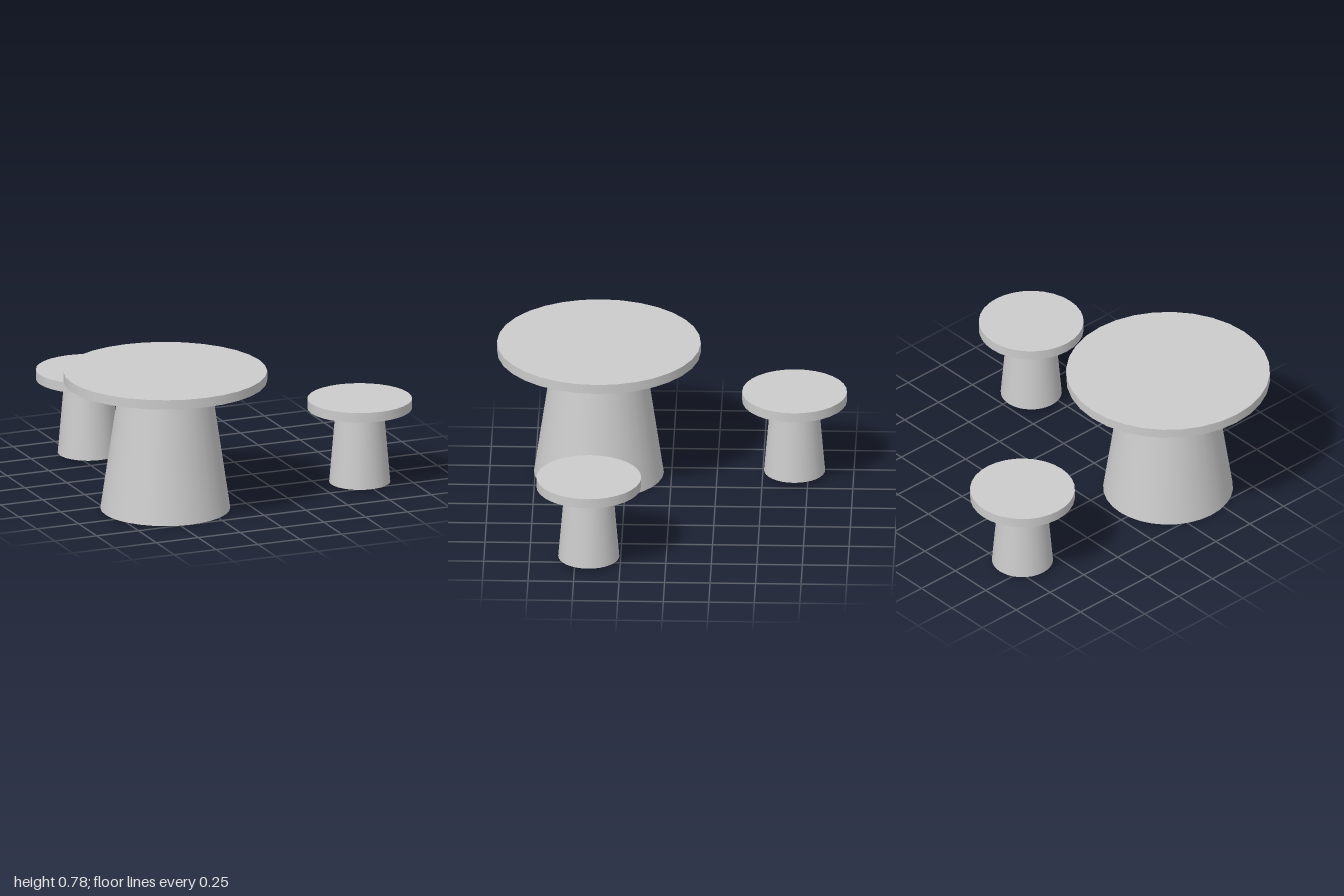
import * as THREE from 'three';

const material = new THREE.MeshStandardMaterial({ color: 0xcccccc, side: THREE.DoubleSide });
const SIDES = 32;

function addMesh(group, name, geometry, y) {
  const mesh = new THREE.Mesh(geometry, material);
  mesh.name = name;
  mesh.position.y = y;
  group.add(mesh);
}

// A round top (disc with a rim, hollow underneath) on an open tapered pedestal
function createPedestalPiece(name, p) {
  const piece = new THREE.Group();
  piece.name = name;
  piece.position.set(p.x, 0, p.z);

  const rimHeight = p.top - p.under;
  addMesh(piece, 'topDisc', new THREE.CircleGeometry(p.radius, SIDES).rotateX(-Math.PI / 2), p.top);
  addMesh(piece, 'topRim',
    new THREE.CylinderGeometry(p.radius, p.radius, rimHeight, SIDES, 1, true), p.under + rimHeight / 2);

  const height = p.under - p.base;
  addMesh(piece, 'pedestal',
    new THREE.CylinderGeometry(p.neck, p.foot, height, SIDES, 1, true), p.base + height / 2);
  return piece;
}

export function createModel() {
  const model = new THREE.Group();
  model.name = 'tableWithStools';

  model.add(createPedestalPiece('table', {
    x: -0.44, z: 0.4, radius: 0.56, top: 0.782, under: 0.728, base: 0, neck: 0.25, foot: 0.357,
  }));

  // Two matching stools
  const stool = { radius: 0.288, top: 0.498, under: 0.443, base: 0.022, neck: 0.132, foot: 0.168 };
  model.add(createPedestalPiece('backStool', { ...stool, x: -0.44, z: -0.675 }));
  model.add(createPedestalPiece('leftStool', { ...stool, x: 0.711, z: 0.424 }));
  return model;
}
